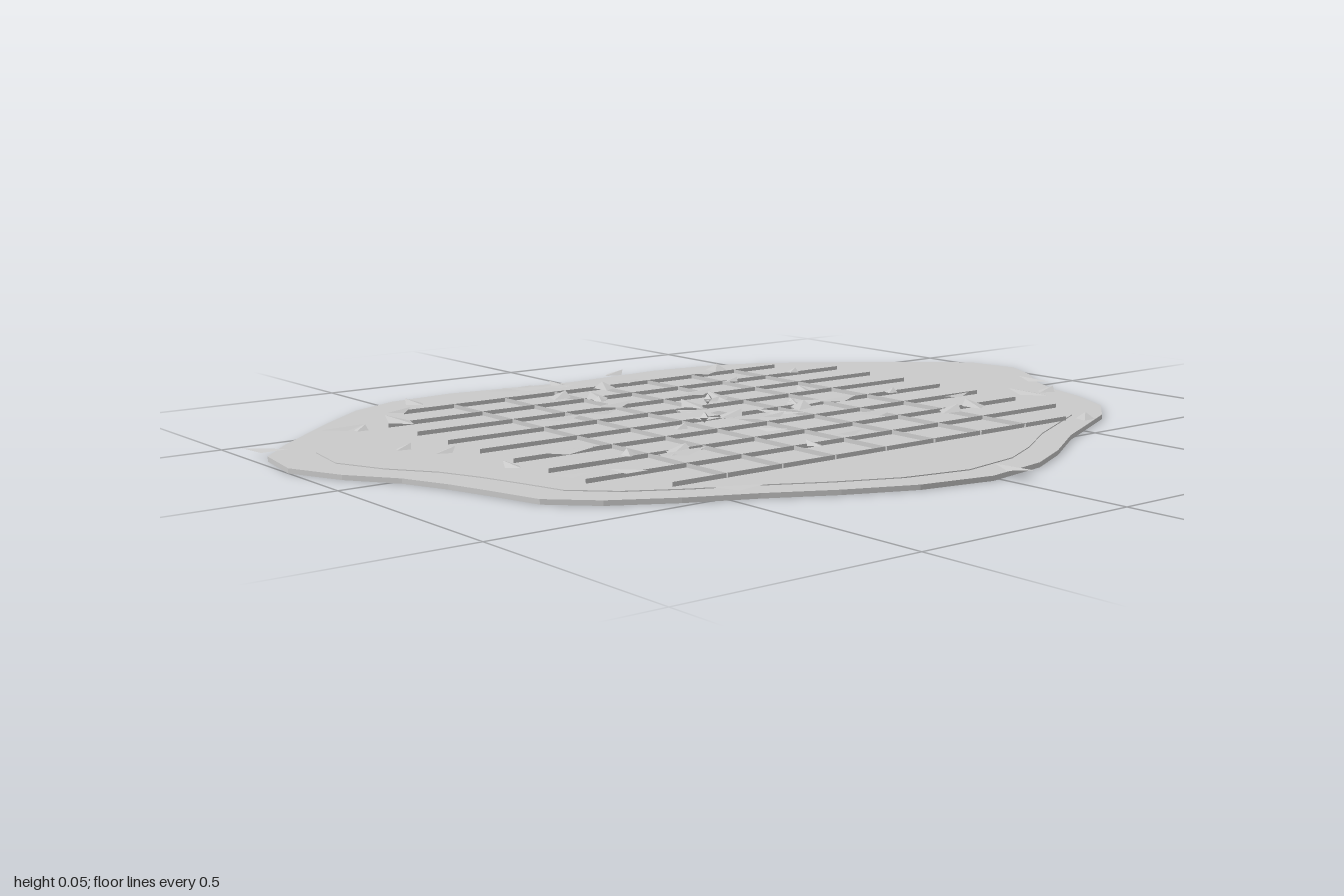
import * as THREE from 'three';

const grey = new THREE.MeshStandardMaterial({ color: 0xcacaca, side: THREE.DoubleSide });
grey.name = 'pale grey';

// Ground outline, as x, z
const outline = [
  [1, -0.2], [0.98, -0.33], [0.88, -0.42], [0.73, -0.54], [0.55, -0.67], [0.42, -0.72], [0.26, -0.74],
  [0.14, -0.73], [-0.01, -0.72], [-0.17, -0.74], [-0.32, -0.76], [-0.48, -0.745], [-0.6, -0.69],
  [-0.73, -0.58], [-0.9, -0.42], [-0.98, -0.33], [-1, -0.2], [-0.95, -0.08], [-0.88, 0.02], [-0.84, 0.12],
  [-0.81, 0.22], [-0.78, 0.33], [-0.7, 0.41], [-0.58, 0.48], [-0.45, 0.54], [-0.32, 0.61], [-0.18, 0.67],
  [-0.02, 0.7], [0.14, 0.67], [0.26, 0.61], [0.4, 0.52], [0.54, 0.45], [0.64, 0.4], [0.73, 0.32],
  [0.79, 0.2], [0.82, 0.1], [0.87, 0], [0.95, -0.1],
];

// Leaves as x, z, turn in degrees
const longLeaves = [
  [-0.24, -0.62, 0], [-0.21, -0.46, 45], [-0.06, -0.5, 60], [0.31, -0.55, 50], [-0.64, -0.42, 90],
  [-0.56, 0.08, -15], [-0.39, 0.22, 40], [-0.4, 0.24, 0], [0.2, 0.14, -5],
  [0.64, 0.18, 90], [0.34, 0.23, 30], [0.42, 0.22, 60], [0.06, -0.31, 10], [0.06, -0.23, 70],
  [-0.37, -0.22, 0], [-0.19, -0.28, 10], [-0.15, -0.4, 70], [-0.05, -0.18, 75], [-0.08, -0.1, -20],
  [-0.05, 0.02, 0], [0.13, -0.02, 45], [0.04, 0.01, -70], [0.24, -0.03, 0], [-0.21, -0.59, -35],
  [0.18, -0.06, -30], [-0.06, -0.03, 30],
];
const shortLeaves = [
  [-0.78, -0.15, 40], [-0.75, -0.38, 50], [-0.74, -0.06, 30], [-0.59, -0.51, 20], [-0.71, 0.13, 85],
  [-0.48, 0.18, 60], [-0.68, 0.28, -25], [-0.58, 0.32, -55], [-0.14, 0.33, 75], [-0.01, 0.29, 0],
  [-0.11, 0.16, -60], [0.48, 0.11, 0], [0.42, -0.04, 40], [0.28, -0.19, 65], [0.23, -0.39, 30],
  [0.43, -0.4, 40], [0.26, -0.53, -10], [0.03, -0.54, -10], [-0.26, -0.22, 0], [-0.24, 0.03, 40],
  [0.15, -0.07, 60], [-0.13, -0.03, -45], [-0.17, -0.36, 60], [-0.14, -0.57, -30], [0.01, 0.03, 10],
  [-0.1, -0.12, -50], [0.02, -0.2, 20],
];
const edgeLeaves = [
  [-0.965, -0.37, -50], [0.13, -0.73, 30], [-0.47, 0.5, -30], [0.03, 0.705, -90], [0.56, 0.42, 40],
  [0.86, 0, 90], [-0.47, -0.66, 85], [-0.08, -0.66, 85], [0.77, 0.12, 25], [-0.74, -0.48, 0],
];

// Flat slab cut to the ground outline
function slab(name, scale, bottom, height) {
  const shape = new THREE.Shape(outline.map(([x, z]) => new THREE.Vector2(x * scale, -z * scale)));
  const geo = new THREE.ExtrudeGeometry(shape, { depth: height, bevelEnabled: false });
  geo.rotateX(-Math.PI / 2);
  const mesh = new THREE.Mesh(geo, grey);
  mesh.name = name;
  mesh.position.y = bottom;
  return mesh;
}

// Diamond leaf folded along its middle
function leafGeometry(length) {
  const h = length / 2, w = length * 0.2, geo = new THREE.BufferGeometry();
  geo.setAttribute('position', new THREE.Float32BufferAttribute([
    -h, 0, 0, 0, -0.004, w, h, 0.002, 0,
    -h, 0, 0, h, 0.002, 0, 0, -0.004, -w,
  ], 3));
  geo.computeVertexNormals();
  return geo;
}

function scatter(name, list, length, y) {
  const group = new THREE.Group();
  group.name = name;
  const geo = leafGeometry(length);
  list.forEach(([x, z, turn], i) => {
    const leaf = new THREE.Mesh(geo, grey);
    leaf.name = 'leaf';
    leaf.position.set(x, y + (i % 4) * 0.001, z);
    leaf.rotation.y = THREE.MathUtils.degToRad(turn);
    group.add(leaf);
  });
  return group;
}

// Thin upright strip of the lattice
function strip(name, length, x, z, turn) {
  const mesh = new THREE.Mesh(new THREE.PlaneGeometry(length, 0.009), grey);
  mesh.name = name;
  mesh.position.set(x, 0.0165, z);
  mesh.rotation.y = turn;
  return mesh;
}

export function createModel() {
  const model = new THREE.Group();
  model.name = 'leafCoveredGround';
  model.add(slab('groundBase', 1, 0, 0.01), slab('groundTop', 0.91, 0.01, 0.002));

  // Lattice: seven long strips, nine cross strips with the outer two shorter
  const lattice = new THREE.Group();
  lattice.name = 'lattice';
  for (let i = 0; i < 7; i++) {
    lattice.add(strip('longStrip', 0.99, -0.42 + i * 0.134, -0.085, Math.PI / 2));
  }
  for (let i = 0; i < 9; i++) {
    const length = i === 0 || i === 8 ? 1.06 : 1.27;
    lattice.add(strip('crossStrip', length, -0.015, 0.405 - i * 0.122, 0));
  }
  model.add(lattice);

  model.add(
    scatter('longLeaves', longLeaves, 0.125, 0.031),
    scatter('shortLeaves', shortLeaves, 0.075, 0.031),
    scatter('edgeLeaves', edgeLeaves, 0.1, 0.017),
  );

  // Two small seed pods among the leaves
  for (const [x, z] of [[0.01, -0.2], [-0.14, -0.02]]) {
    const pod = new THREE.Mesh(new THREE.OctahedronGeometry(0.012), grey);
    pod.name = 'seedPod';
    pod.position.set(x, 0.035, z);
    model.add(pod);
  }
  return model;
}
